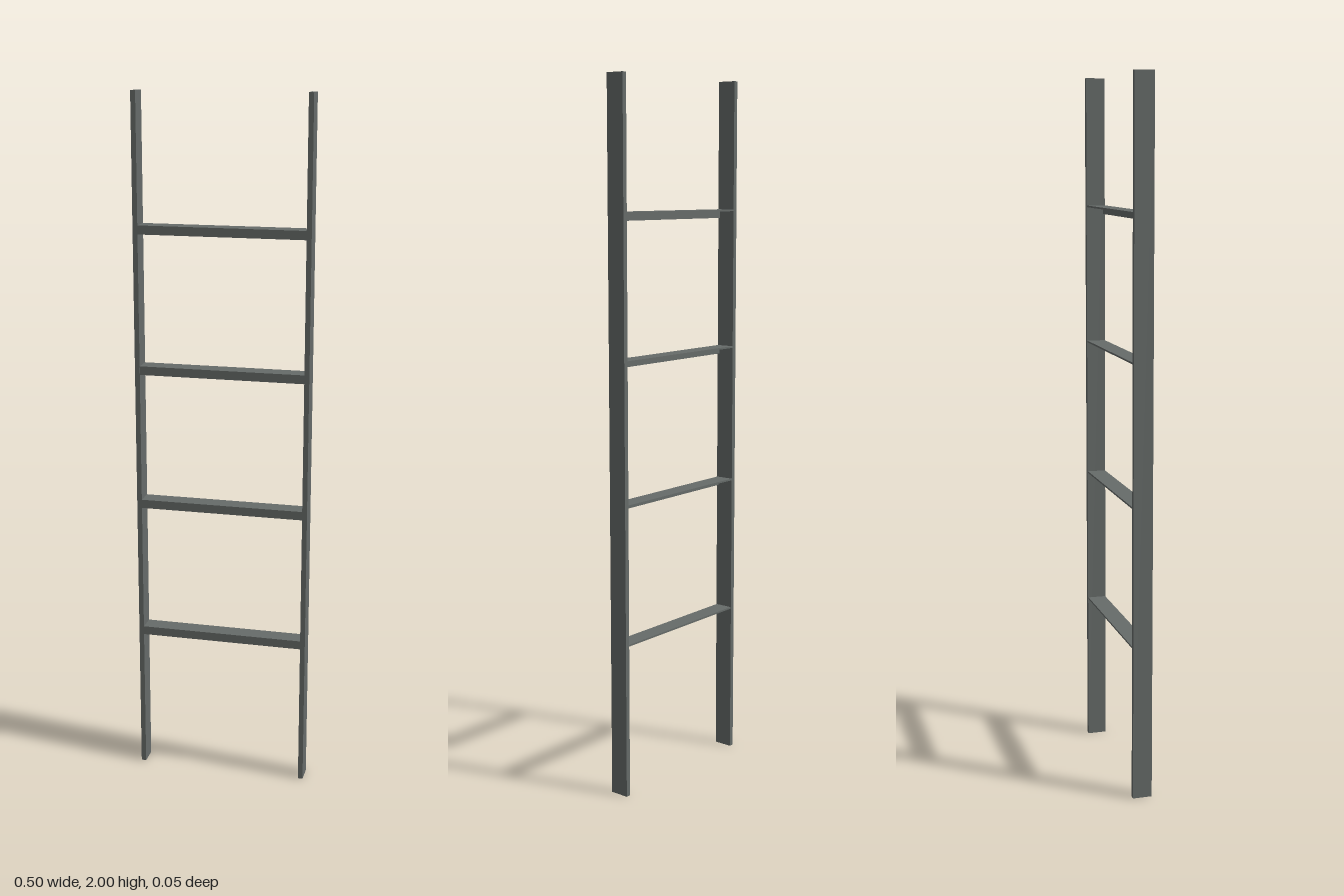
import * as THREE from 'three';

export function createModel() {
  const model = new THREE.Group();
  model.name = 'ladder';
  const steel = new THREE.MeshStandardMaterial({ color: 0x666b69 });
  steel.name = 'grey steel';

  const height = 2, halfWidth = 0.251, railThick = 0.014, railDepth = 0.055;

  // Two upright flat-bar rails
  for (const side of [-1, 1]) {
    const rail = new THREE.Mesh(new THREE.BoxGeometry(railThick, height, railDepth), steel);
    rail.name = side > 0 ? 'leftRail' : 'rightRail';
    rail.position.set(side * (halfWidth - railThick / 2), height / 2, 0);
    model.add(rail);
  }

  // Angle-iron rungs: flat tread on top, lip hanging down at the front
  const length = 2 * (halfWidth - railThick);
  const front = 0.0265, drop = 0.025, t = 0.005;
  const profile = new THREE.Shape([
    [-front, 0], [-front, -t], [front - t, -t],
    [front - t, -drop], [front, -drop], [front, 0],
  ].map(([z, y]) => new THREE.Vector2(-z, y)));
  const rungGeometry = new THREE.ExtrudeGeometry(profile, { depth: length, bevelEnabled: false });
  rungGeometry.translate(0, 0, -length / 2);
  rungGeometry.rotateY(Math.PI / 2); // extrusion runs along x, lip faces +z

  for (let i = 0; i < 4; i++) {
    const rung = new THREE.Mesh(rungGeometry, steel);
    rung.name = `rung${i + 1}`;
    rung.position.y = 0.444 + i * 0.398;
    model.add(rung);
  }
  return model;
}
